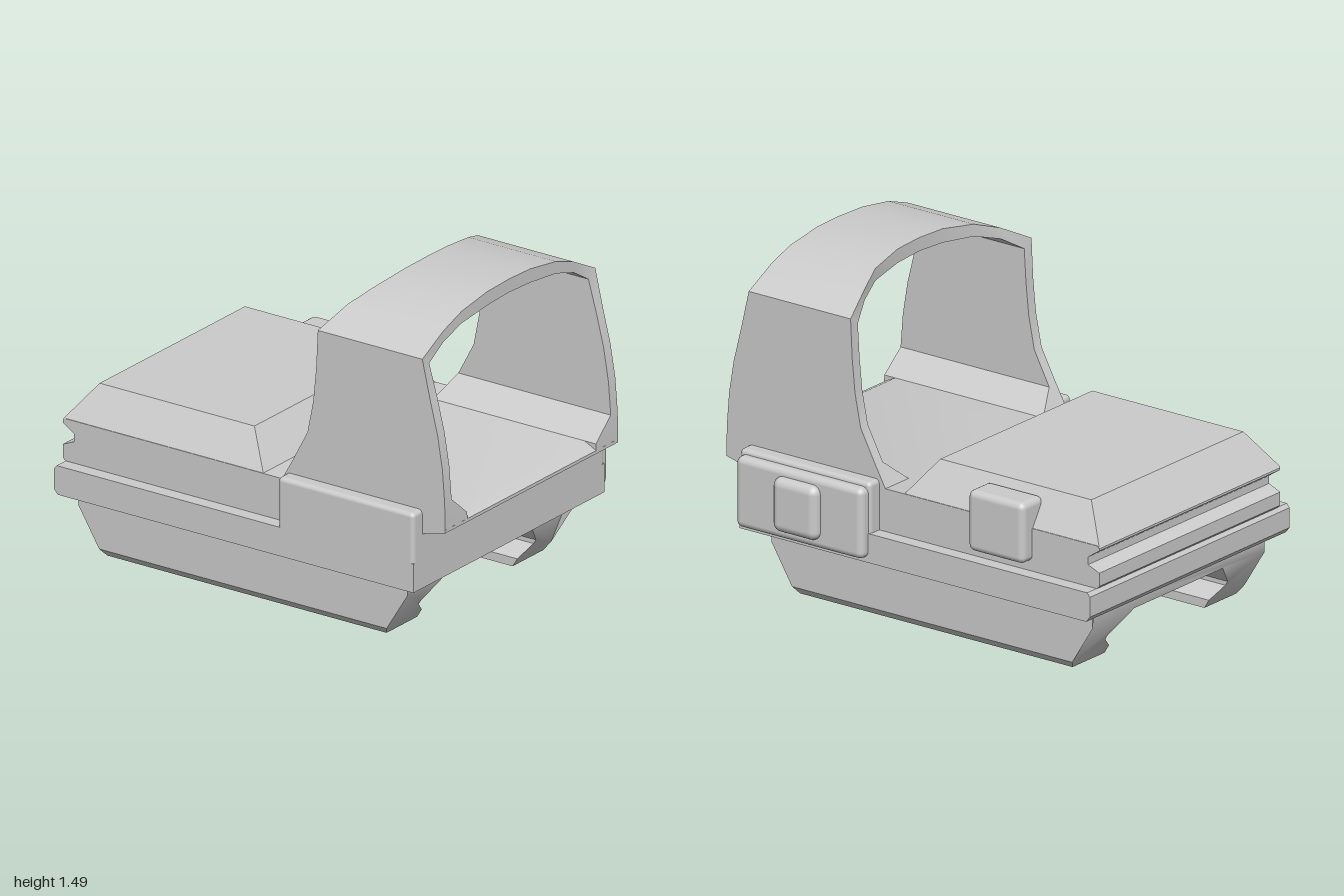
import * as THREE from 'three';
import { toCreasedNormals } from 'three/addons/utils/BufferGeometryUtils.js';
import { RoundedBoxGeometry } from 'three/addons/geometries/RoundedBoxGeometry.js';

const material = new THREE.MeshStandardMaterial({ color: 0xcccccc });
const CX = -0.045; // middle plane of the body
const HALF = 0.625; // half width of the body

// Joins closed four-point rings into a capped solid
function loft(rings) {
  const pos = [];
  const tri = (...p) => p.forEach(v => pos.push(...v));
  for (let i = 0; i < rings.length - 1; i++) {
    for (let k = 0; k < 4; k++) {
      const n = (k + 1) % 4;
      const a = rings[i][k], b = rings[i][n], c = rings[i + 1][n], d = rings[i + 1][k];
      tri(a, b, c);
      tri(a, c, d);
    }
  }
  const s = rings[0], e = rings[rings.length - 1];
  tri(s[0], s[2], s[1]);
  tri(s[0], s[3], s[2]);
  tri(e[0], e[1], e[2]);
  tri(e[0], e[2], e[3]);
  const g = new THREE.BufferGeometry();
  g.setAttribute('position', new THREE.Float32BufferAttribute(pos, 3));
  return toCreasedNormals(g, 0.6);
}

// Extrudes a [z, y] profile across the width
function crossExtrude(profile, x0, x1) {
  const shape = new THREE.Shape(profile.map(([z, y]) => new THREE.Vector2(-z, y)));
  const g = new THREE.ExtrudeGeometry(shape, { depth: x1 - x0, bevelEnabled: false });
  return toCreasedNormals(g.rotateY(Math.PI / 2).translate(x0, 0, 0), 0.6);
}

function roundedBox(x0, x1, y0, y1, z0, z1, r) {
  return new RoundedBoxGeometry(x1 - x0, y1 - y0, z1 - z0, 3, r)
    .translate((x0 + x1) / 2, (y0 + y1) / 2, (z0 + z1) / 2);
}

// Linear lookup in a list of [y, z] points
function lookup(table, y) {
  for (let i = 1; i < table.length; i++) {
    const [y0, z0] = table[i - 1], [y1, z1] = table[i];
    if (y <= y1) return z0 + (z1 - z0) * Math.max(0, (y - y0) / (y1 - y0));
  }
  return table[table.length - 1][1];
}

function hoodGeometry() {
  const front = [[0.56, 1], [0.7, 0.997], [0.85, 0.985], [1, 0.96], [1.15, 0.922], [1.29, 0.88]];
  const back = [[0.56, 0.12], [0.61, 0.15], [0.7, 0.2], [0.85, 0.28], [1, 0.31],
    [1.2, 0.33], [1.37, 0.335], [1.43, 0.4], [1.488, 0.45]];
  // outer half width, outer y, inner half width, inner y
  const half = [
    [HALF, 0.56, 0.465, 0.56], [HALF, 0.605, 0.465, 0.605], [HALF, 0.7, 0.575, 0.7],
    [HALF, 0.77, 0.575, 0.77], [HALF, 0.85, 0.575, 0.85], [HALF, 1, 0.575, 1],
    [HALF, 1.15, 0.575, 1.15], [HALF, 1.33, 0.575, 1.295], [0.47, 1.41, 0.47, 1.36],
    [0.34, 1.455, 0.34, 1.4], [0.155, 1.483, 0.155, 1.42], [0, 1.488, 0, 1.427],
  ];
  const ring = side => ([ox, oy, ix, iy]) => {
    const f = lookup(front, oy), b = lookup(back, oy);
    const xo = CX + side * ox, xi = CX + side * ix;
    return [[xo, oy, f], [xo, oy, b], [xi, iy, b], [xi, iy, f]];
  };
  return loft([...half.map(ring(1)), ...half.slice(0, -1).reverse().map(ring(-1))]);
}

function humpGeometry() {
  const ring = (w, y, z0, z1) =>
    [[CX + w, y, z1], [CX + w, y, z0], [CX - w, y, z0], [CX - w, y, z1]];
  return loft([ring(HALF, 0.6, -1, 0.05), ring(0.525, 0.76, -0.88, -0.07)]);
}

function clampGeometry() {
  const right = [[0.305, 0.22], [0.415, 0.115], [0.415, 0.095], [0.345, 0.04], [0.345, 0],
    [0.565, 0], [0.595, 0.035], [0.595, 0.21], [0.595, 0.265], [0.58, 0.285]];
  const left = right.map(([x, y]) => [-x, y]).reverse();
  const shape = new THREE.Shape([...right, ...left].map(([x, y]) => new THREE.Vector2(CX + x, y)));
  const g = new THREE.ExtrudeGeometry(shape, { depth: 1.72, bevelEnabled: false }).translate(0, 0, -0.94);
  // Ends slope inwards towards the foot
  const p = g.attributes.position;
  for (let i = 0; i < p.count; i++) {
    const inset = 0.13 * Math.max(0, 1 - p.getY(i) / 0.21);
    p.setZ(i, p.getZ(i) - Math.sign(p.getZ(i)) * inset);
  }
  return toCreasedNormals(g, 0.6);
}

export function createModel() {
  const group = new THREE.Group();
  const add = (name, geometry) => {
    const mesh = new THREE.Mesh(geometry, material);
    mesh.name = name;
    group.add(mesh);
  };

  // Rail clamp and base plate
  add('railClamp', clampGeometry());
  add('basePlate', crossExtrude([
    [0.88, 0.28], [0.88, 0.412], [-0.985, 0.412], [-1, 0.395], [-1, 0.305], [-0.98, 0.28],
  ], -0.735, 0.645));

  // Body with overhanging front lip and rear groove
  add('body', crossExtrude([
    [0.88, 0.41], [0.88, 0.53], [1, 0.56], [1, 0.575], [0.94, 0.605], [-0.99, 0.605], [-1, 0.595],
    [-1, 0.585], [-0.94, 0.545], [-0.94, 0.51], [-1, 0.485], [-1, 0.425], [-0.985, 0.41],
  ], CX - HALF, CX + HALF));
  add('rearHousing', humpGeometry());

  // Arched window frame
  add('windowHood', hoodGeometry());

  // Side panels and buttons
  add('leftPanel', roundedBox(0.56, 0.645, 0.28, 0.64, 0.18, 0.88, 0.02));
  add('leftCover', roundedBox(0.59, 0.69, 0.3, 0.62, 0.19, 0.87, 0.03));
  add('leftButton', roundedBox(0.63, 0.73, 0.34, 0.587, 0.41, 0.65, 0.04));
  add('rightPanel', roundedBox(-0.735, -0.65, 0.28, 0.64, 0.17, 0.88, 0.02));
  add('rearButton', roundedBox(0.495, 0.645, 0.455, 0.73, -0.64, -0.34, 0.03));

  return group;
}
